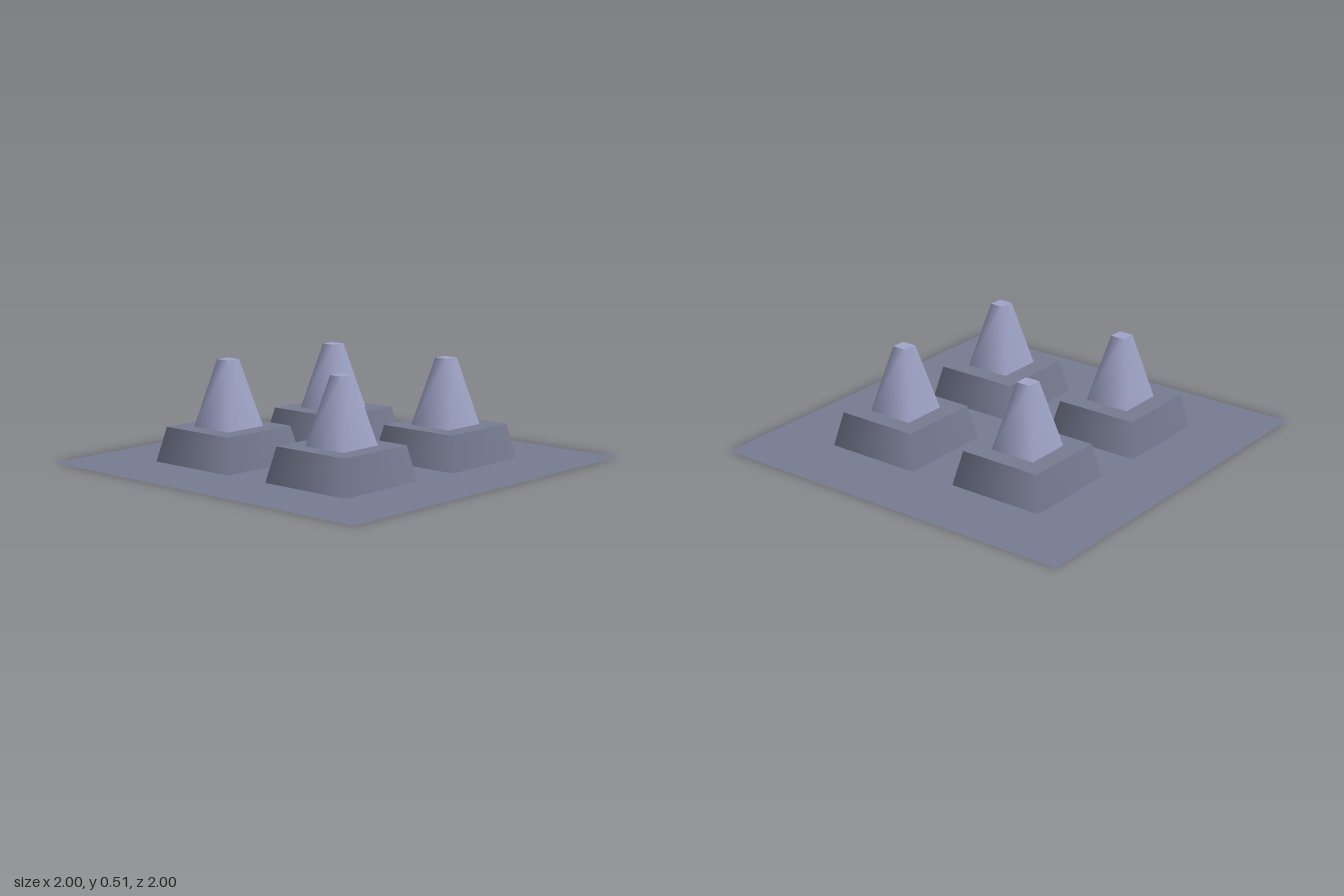
import * as THREE from 'three';

const slate = new THREE.MeshStandardMaterial({ color: 0x777c92, side: THREE.DoubleSide });
slate.name = 'slate';
const lavender = new THREE.MeshStandardMaterial({ color: 0xa0a5c8 });
lavender.name = 'lavender';

// Square frustum with softly shaded sides; sizes are half widths of the squares
function frustum(name, topHalf, bottomHalf, y0, y1, material) {
  const geo = new THREE.CylinderGeometry(topHalf * Math.SQRT2, bottomHalf * Math.SQRT2, y1 - y0, 4);
  geo.rotateY(Math.PI / 4);
  geo.translate(0, (y0 + y1) / 2, 0);
  const mesh = new THREE.Mesh(geo, material);
  mesh.name = name;
  return mesh;
}

export function createModel() {
  const model = new THREE.Group();
  model.name = 'pedestalField';

  // Flat ground sheet
  const sheet = new THREE.Mesh(new THREE.PlaneGeometry(2, 2).rotateX(-Math.PI / 2), slate);
  sheet.name = 'groundSheet';
  model.add(sheet);

  // Four stepped pillars, slightly off a regular grid
  const spots = [[-0.385, -0.385], [0.376, -0.375], [-0.383, 0.37], [0.38, 0.38]];
  spots.forEach(([x, z], i) => {
    const pillar = new THREE.Group();
    pillar.name = `pillar${i + 1}`;
    pillar.add(
      frustum('pillarBase', 0.217, 0.255, 0.001, 0.176, slate),
      frustum('pillarSpire', 0.038, 0.121, 0.176, 0.514, lavender),
    );
    pillar.position.set(x, 0, z);
    model.add(pillar);
  });
  return model;
}
